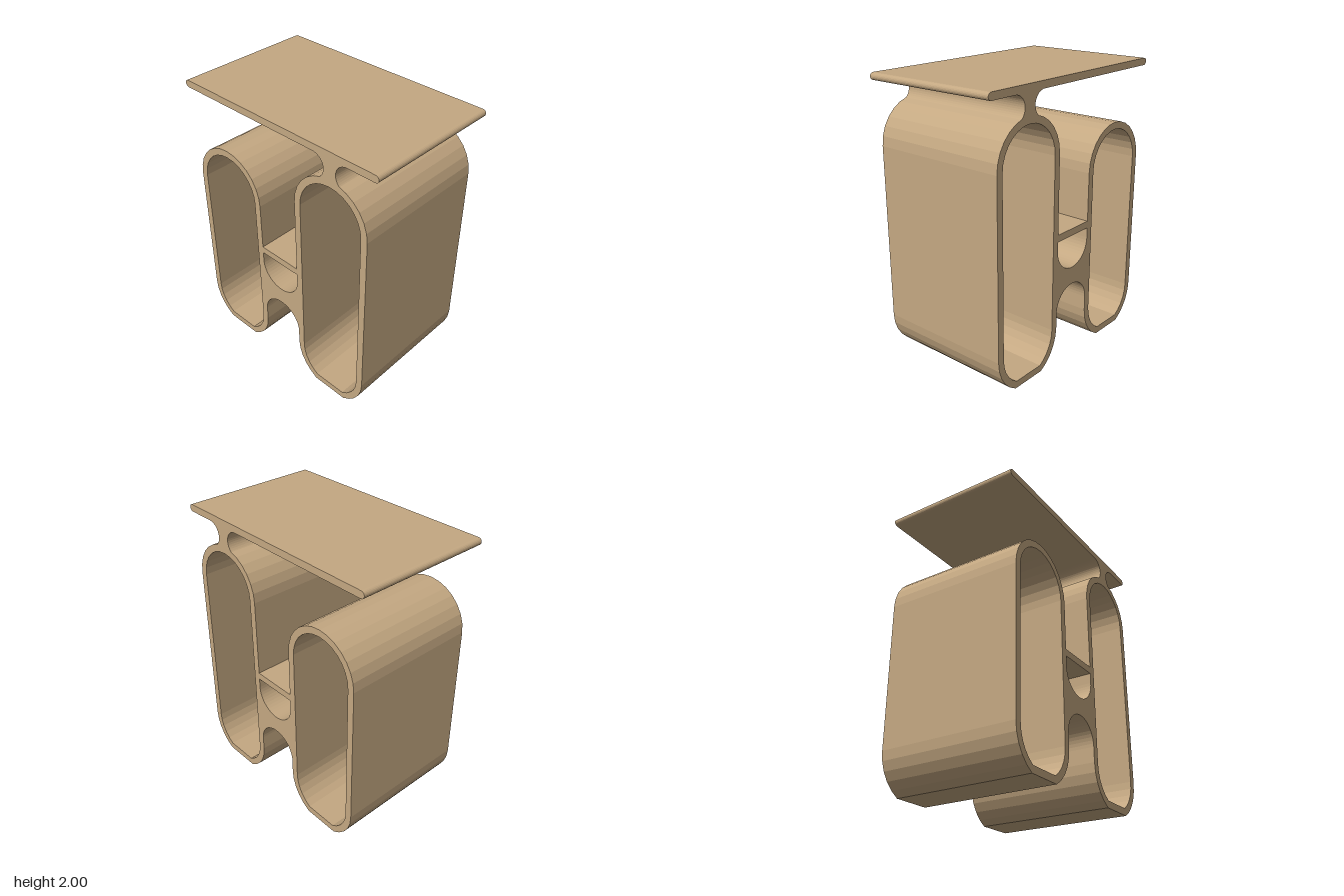
import * as THREE from 'three';

const DEPTH = 1, WALL = 0.05;
const material = new THREE.MeshStandardMaterial({ color: 0xc4a882, flatShading: true });

// Points along a circular arc, angles in radians
function arc(cx, cy, r, a0, a1, n) {
  return Array.from({ length: n + 1 }, (_, i) => {
    const a = a0 + (a1 - a0) * i / n;
    return new THREE.Vector2(cx + r * Math.cos(a), cy + r * Math.sin(a));
  });
}

// Extrude a front profile through the full depth, centred on z = 0
function part(name, points, hole) {
  const shape = new THREE.Shape(points);
  if (hole) shape.holes.push(new THREE.Path(hole));
  const geometry = new THREE.ExtrudeGeometry(shape, { depth: DEPTH, bevelEnabled: false });
  geometry.translate(0, 0, -DEPTH / 2);
  const mesh = new THREE.Mesh(geometry, material);
  mesh.name = name;
  return mesh;
}

// Stadium outline with its lower end cut flat at height floor
function stadium(cx, top, r, floor) {
  const low = 0.268;
  const cut = Math.asin((low - floor) / r);
  return [
    ...arc(cx, top, r, 0, Math.PI, 14),
    ...arc(cx, low, r, Math.PI, Math.PI + cut, 5),
    ...arc(cx, low, r, -cut, 0, 5),
  ];
}

function loop(name, cx, top) {
  return part(name, stadium(cx, top, 0.3, 0), stadium(cx, top, 0.3 - WALL, WALL));
}

export function createModel() {
  const model = new THREE.Group();
  model.name = 'sideTable';
  const PI = Math.PI;

  // Two upright hollow loops, the taller one carrying the top
  const shortX = -0.468, tallX = 0.466, tallTop = 1.51;
  model.add(loop('shortLoop', shortX, 1.3), loop('tallLoop', tallX, tallTop));

  // Shelf and concave web filling the gap between the loops
  const x0 = shortX + 0.3, x1 = tallX - 0.3;
  const mid = (x0 + x1) / 2, r = (x1 - x0) / 2;
  model.add(part('shelf', [
    new THREE.Vector2(x0, 0.905), new THREE.Vector2(x1, 0.905),
    new THREE.Vector2(x1, 0.955), new THREE.Vector2(x0, 0.955),
  ]));
  model.add(part('web', [
    ...arc(mid, 0.374, r, PI, 0, 24),
    ...arc(mid, 0.834, r, 0, -PI, 24),
  ]));

  // Table top with rounded ends
  const h = WALL / 2;
  model.add(part('tableTop', [
    ...arc(0.83 - h, 2 - h, h, -PI / 2, PI / 2, 10),
    ...arc(-0.83 + h, 2 - h, h, PI / 2, PI * 1.5, 10),
  ]));

  // Waisted neck between the tall loop and the top
  const spread = 0.134, nr = 0.086, ny = 1.95 - nr, end = 0.94;
  model.add(part('neck', [
    ...arc(tallX - spread, ny, nr, PI / 2, -end, 16),
    ...arc(tallX, tallTop, 0.294, PI / 2 + 0.26, PI / 2 - 0.26, 4),
    ...arc(tallX + spread, ny, nr, PI + end, PI / 2, 16),
  ]));

  return model;
}
